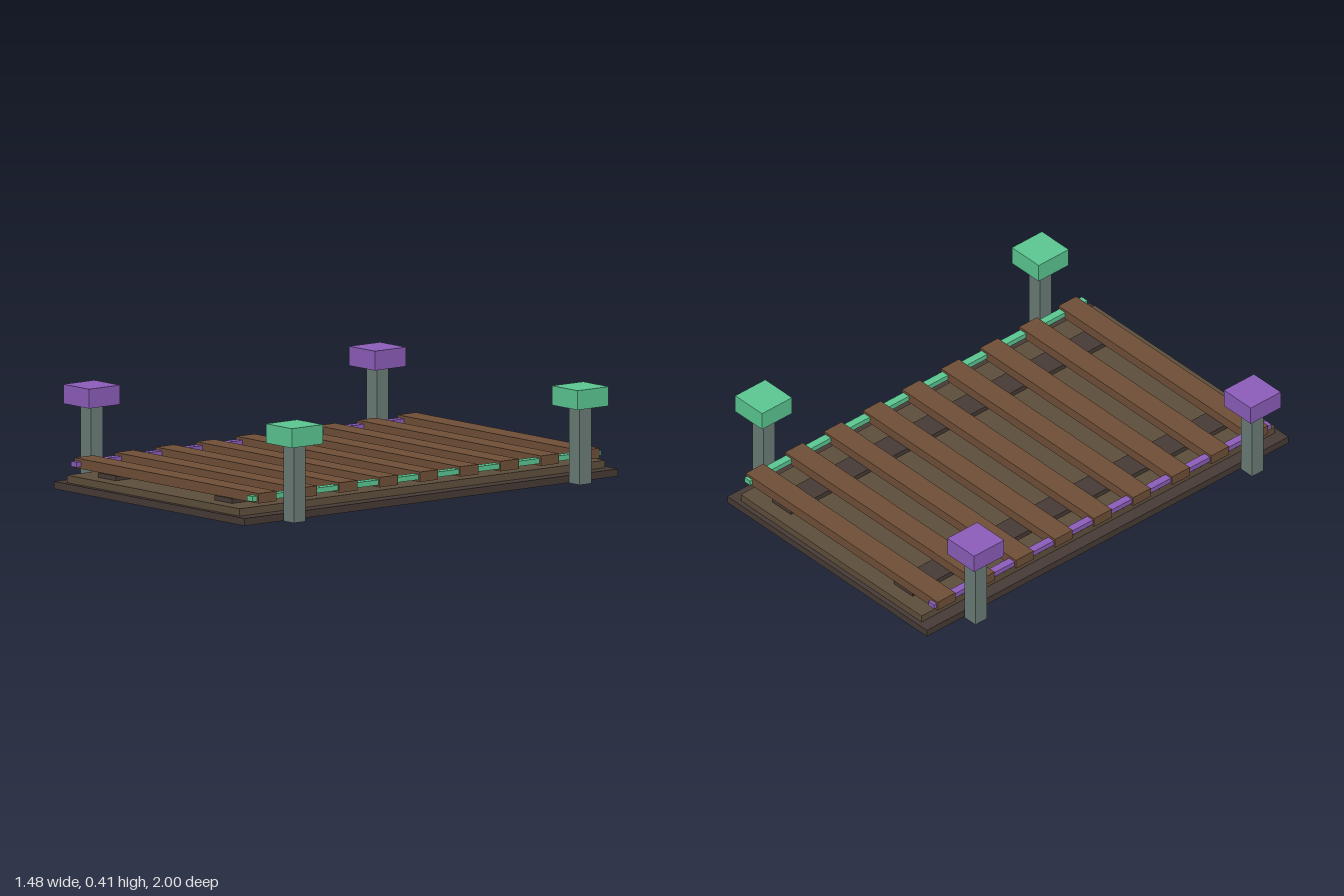
import * as THREE from 'three';

const mat = (color) => new THREE.MeshStandardMaterial({ color });

export function createModel() {
  const model = new THREE.Group();
  const dark = mat(0x463a35), earth = mat(0x5d4e3b), wood = mat(0x6e4e37);
  const stone = mat(0x6a7b75), green = mat(0x5ac591), purple = mat(0x8b5db8);

  // Box given by its centre in x and z, its bottom and top in y, and its width and depth
  const box = (name, material, x, z, y0, y1, w, d) => {
    const mesh = new THREE.Mesh(new THREE.BoxGeometry(w, y1 - y0, d), material);
    mesh.name = name;
    mesh.position.set(x, (y0 + y1) / 2, z);
    model.add(mesh);
  };

  // Stepped base
  box('base', dark, 0, 0, 0, 0.031, 1.236, 2);
  box('bed', earth, 0, 0, 0.031, 0.062, 1.12, 1.956);

  // Cross planks
  for (let i = 0; i < 9; i++) {
    box('plank', wood, 0, -0.006 + (i - 4) * 0.216, 0.081, 0.123, 1.19, 0.098);
  }

  for (const side of [-1, 1]) {
    const accent = side > 0 ? green : purple;
    const name = side > 0 ? 'left' : 'right';
    // Runner under the planks and coloured strip along the edge
    box(name + 'Runner', dark, side * 0.377, 0, 0.062, 0.082, 0.116, 1.83);
    box(name + 'EdgeStrip', accent, side * 0.57, 0, 0.09, 0.112, 0.035, 1.866);
    // Corner posts with caps
    for (const end of [-1, 1]) {
      box(name + 'Post', stone, side * 0.657, end * 0.765, 0, 0.325, 0.068, 0.064);
      box(name + 'PostCap', accent, side * 0.657, end * 0.765, 0.325, 0.406, 0.166, 0.166);
    }
  }
  return model;
}
